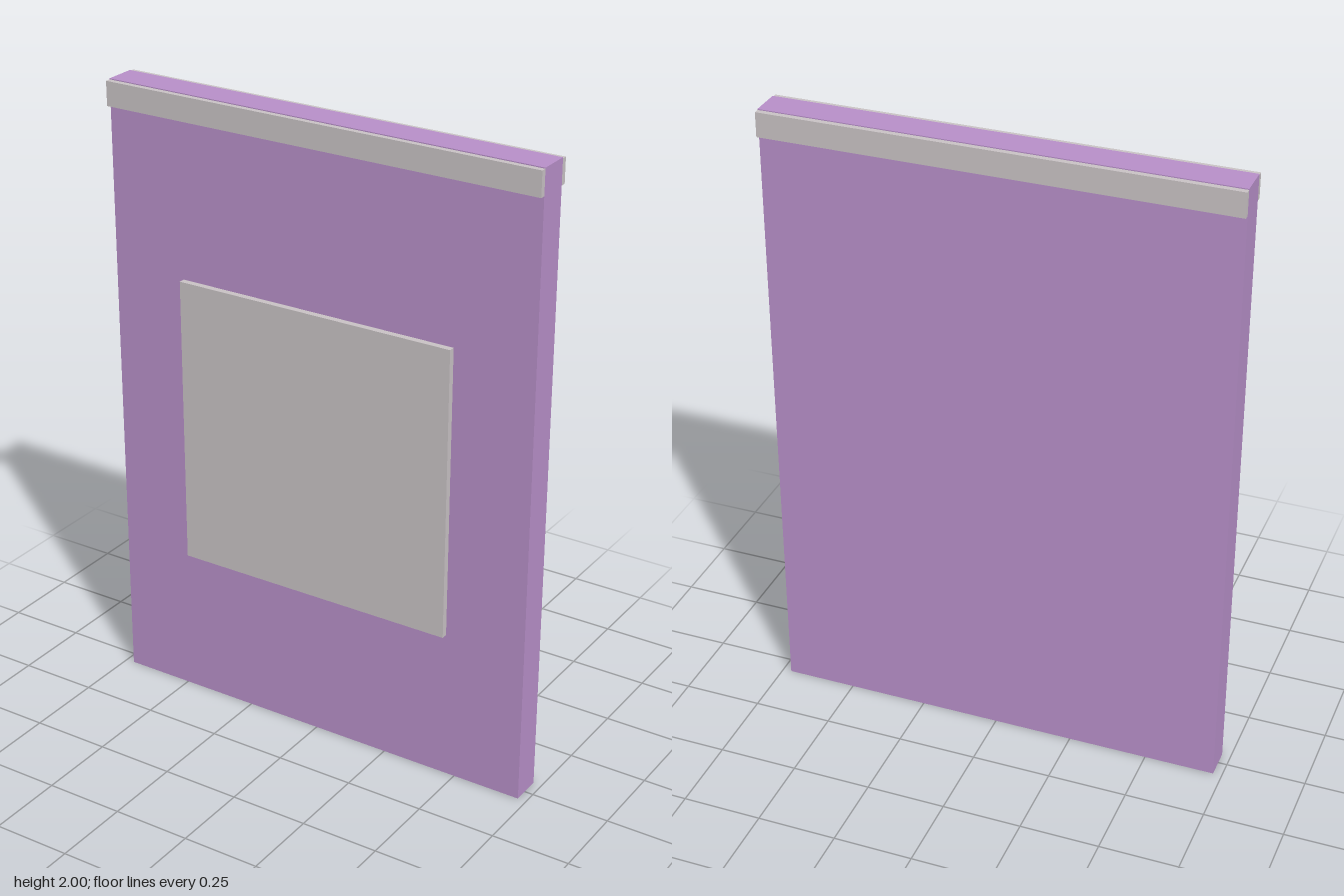
import * as THREE from 'three';

export function createModel() {
  const model = new THREE.Group();
  const purple = new THREE.MeshStandardMaterial({ color: 0xb78fc8 });
  purple.name = 'purple';
  const grey = new THREE.MeshStandardMaterial({ color: 0xc8c2c4 });
  grey.name = 'warm grey';

  // Box given by its lower and upper corners
  function addBox(name, material, min, max) {
    const size = max.map((v, i) => v - min[i]);
    const mesh = new THREE.Mesh(new THREE.BoxGeometry(...size), material);
    mesh.position.set(...max.map((v, i) => (v + min[i]) / 2));
    mesh.name = name;
    model.add(mesh);
  }

  // Upright slab
  addBox('slab', purple, [-0.722, 0, -0.056], [0.722, 2, 0.043]);

  // Trim strips along the top edge, front and back
  addBox('frontTrim', grey, [-0.722, 1.92, 0.043], [0.722, 1.997, 0.06]);
  addBox('backTrim', grey, [-0.722, 1.92, -0.073], [0.722, 1.997, -0.056]);

  // Square plate standing just clear of the front face
  addBox('frontPlate', grey, [-0.465, 0.493, 0.053], [0.465, 1.424, 0.073]);

  return model;
}
